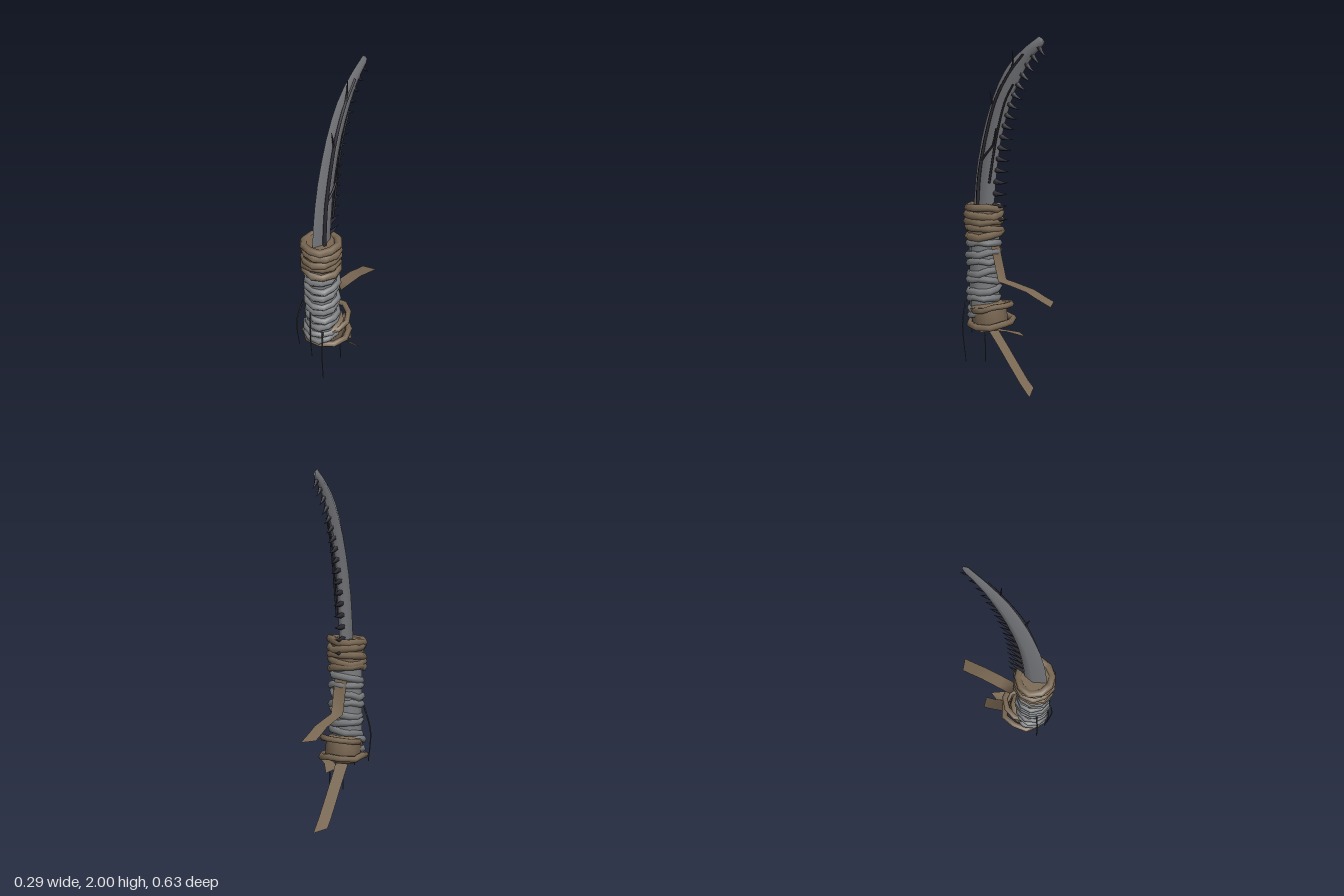
import * as THREE from 'three';
import { toCreasedNormals } from 'three/addons/utils/BufferGeometryUtils.js';

const V = (x, y, z) => new THREE.Vector3(x, y, z);
const mat = (name, color, side = THREE.FrontSide) => {
  const m = new THREE.MeshStandardMaterial({ color, side });
  m.name = name;
  return m;
};

export function createModel() {
  const steel = mat('blade grey', 0x747579);
  const cord = mat('cord grey', 0x7b7d80);
  const leather = mat('leather brown', 0x7a6853, THREE.DoubleSide);
  const thorn = mat('thorn black', 0x2b2a33);
  const thread = mat('thread grey', 0x404245);
  const root = new THREE.Group();
  root.name = 'curvedSickle';

  let seed = 7;
  const rand = () => (seed = (seed * 16807) % 2147483647) / 2147483647 - 0.5;

  const add = (name, geo, material) => {
    const m = new THREE.Mesh(geo, material);
    m.name = name;
    root.add(m);
    return m;
  };

  // Lumpy, tilted loop of cord or leather
  function loop(name, material, x, y, z, r, tube, tiltX, tiltZ) {
    const g = new THREE.TorusGeometry(r, tube, 6, 10).rotateX(Math.PI / 2).rotateY(rand());
    const p = g.attributes.position;
    const lump = Array.from({ length: 10 }, () => [1 + rand() * 0.09, rand() * 0.016]);
    for (let i = 0; i < p.count; i++) {
      const [s, dy] = lump[(i % 11) % 10];
      p.setXYZ(i, p.getX(i) * s, p.getY(i) + dy, p.getZ(i) * s);
    }
    const m = add(name, g, material);
    m.position.set(x, y, z);
    m.rotation.set(tiltX, 0, tiltZ);
  }

  // Tapered tube through points
  function strand(name, material, points, r0, r1, sides = 5) {
    const n = points.length * 4;
    const curve = new THREE.CatmullRomCurve3(points);
    const g = new THREE.TubeGeometry(curve, n, 1, sides);
    const p = g.attributes.position;
    for (let i = 0; i < p.count; i++) {
      const t = Math.floor(i / (sides + 1)) / n;
      const c = curve.getPointAt(t);
      const v = V(0, 0, 0).fromBufferAttribute(p, i).sub(c);
      v.multiplyScalar(r0 + (r1 - r0) * t).add(c);
      p.setXYZ(i, v.x, v.y, v.z);
    }
    add(name, g, material);
  }

  // Flat ribbon: each station is a pair of edge points
  function strap(name, stations) {
    const g = new THREE.PlaneGeometry(1, 1, 1, stations.length - 1);
    stations.forEach(([a, b], i) => {
      g.attributes.position.setXYZ(i * 2, a.x, a.y, a.z);
      g.attributes.position.setXYZ(i * 2 + 1, b.x, b.y, b.z);
    });
    g.computeVertexNormals();
    add(name, g, leather);
  }

  // Blade stations: outer z, outer y, inner z, inner y, half width
  const stations = [
    [0.268, 0.98, 0.118, 0.98, 0.036], [0.262, 1.09, 0.115, 1.09, 0.036],
    [0.25, 1.21, 0.104, 1.2, 0.035], [0.233, 1.315, 0.09, 1.315, 0.034],
    [0.205, 1.44, 0.066, 1.44, 0.032], [0.17, 1.55, 0.037, 1.54, 0.03],
    [0.128, 1.66, 0.002, 1.64, 0.028], [0.08, 1.755, -0.035, 1.715, 0.025],
    [0.03, 1.83, -0.08, 1.79, 0.022], [-0.03, 1.892, -0.122, 1.857, 0.019],
    [-0.11, 1.95, -0.172, 1.91, 0.016], [-0.196, 2.0, -0.215, 1.945, 0.013],
    [-0.222, 1.985, -0.229, 1.962, 0.006],
  ];
  const section = [[0, 0], [0.48, 1], [0.85, 0.75], [1, 0.2], [1, -0.2], [0.85, -0.75], [0.48, -1]];
  const pos = [], idx = [], n = section.length;
  stations.forEach(([oz, oy, iz, iy, w], k) => {
    for (const [t, s] of section) pos.push(-0.006 - 0.006 * k / 12 + s * w, oy + (iy - oy) * t, oz + (iz - oz) * t);
    if (!k) return;
    for (let i = 0; i < n; i++) {
      const a = (k - 1) * n + i, b = (k - 1) * n + (i + 1) % n;
      idx.push(a, b, b + n, a, b + n, a + n);
    }
  });
  const end = (stations.length - 1) * n;
  for (let i = 1; i < n - 1; i++) idx.push(end, end + i, end + i + 1);
  const bladeGeo = new THREE.BufferGeometry();
  bladeGeo.setAttribute('position', new THREE.Float32BufferAttribute(pos, 3));
  bladeGeo.setIndex(idx);
  add('blade', toCreasedNormals(bladeGeo, 0.9), steel);

  // Row of curved teeth along the inner edge
  const inner = new THREE.CatmullRomCurve3(stations.slice(0, 12).map(s => V(-0.01, s[3], s[2])));
  const teeth = 17;
  for (let i = 0; i < teeth; i++) {
    const t = i / (teeth - 1);
    const len = 0.115 - 0.045 * t;
    const g = new THREE.ConeGeometry(0.021 - 0.005 * t, len, 6, 4);
    g.translate(0, len / 2 - 0.012, 0);
    const p = g.attributes.position;
    for (let j = 0; j < p.count; j++) {
      const h = Math.max(0, p.getY(j) / len);
      p.setX(j, p.getX(j) * 0.8);
      p.setZ(j, p.getZ(j) + 0.022 * h * h);
    }
    g.computeVertexNormals();
    const m = add('tooth', g, thorn);
    m.position.copy(inner.getPointAt(0.01 + 0.975 * Math.pow(t, 0.93)));
    m.rotation.x = -0.08 - 0.95 * Math.pow(t, 1.5) - Math.PI / 2;
  }

  // Dark vines creeping up one side of the blade
  strand('mainVine', thorn, [V(0.03, 1.04, 0.205), V(0.031, 1.2, 0.195), V(0.028, 1.315, 0.178),
    V(0.024, 1.53, 0.125), V(0.02, 1.67, 0.075), V(0.011, 1.81, -0.012), V(0.005, 1.91, -0.105)], 0.012, 0.007);
  strand('innerVine', thorn, [V(0.026, 1.2, 0.12), V(0.025, 1.36, 0.09), V(0.022, 1.5, 0.06),
    V(0.018, 1.66, 0.01), V(0.012, 1.75, -0.04)], 0.007, 0.005);
  strand('vineBranch', thorn, [V(0.028, 1.32, 0.178), V(0.033, 1.37, 0.13), V(0.028, 1.41, 0.095), V(0.024, 1.51, 0.07)], 0.007, 0.004);
  strand('vineSpur', thorn, [V(0.02, 1.6, 0.1), V(0.018, 1.65, 0.103), V(0.02, 1.71, 0.118)], 0.007, 0.002);
  strand('vineSpur', thorn, [V(0.01, 1.81, -0.012), V(0.006, 1.86, -0.033), V(0.01, 1.93, -0.032)], 0.007, 0.002);

  // Grip core and its bindings
  add('gripCore', new THREE.CylinderGeometry(0.088, 0.088, 0.58, 10), cord).position.set(-0.008, 0.69, 0.188);
  add('gripCollar', new THREE.CylinderGeometry(0.1, 0.096, 0.165, 10), leather).position.set(-0.008, 0.982, 0.188);
  for (let i = 0; i < 9; i++)
    loop('cordWrap', cord, -0.007 + rand() * 0.012, 0.465 + i * 0.054, 0.19, 0.086, 0.022,
      0.1 + rand() * 0.12, (i % 2 ? 0.14 : -0.1) + rand() * 0.1);
  loop('cordWrap', cord, -0.01, 0.43, 0.19, 0.092, 0.021, 0.3, 0.1);
  const collar = [[1.055, 0.02, 0.03], [1.015, -0.06, -0.06], [0.972, 0.09, 0.07], [0.935, -0.03, 0.1], [0.9, 0.05, -0.1]];
  for (const [y, tx, tz] of collar) loop('leatherWrap', leather, -0.005, y, 0.187, 0.096, 0.023, tx, tz);

  // Tilted leather pommel with two bands
  const profile = [[0, 0], [0.06, 0.004], [0.09, 0.018], [0.107, 0.06], [0.108, 0.15], [0.085, 0.165], [0, 0.168]];
  const pommel = add('pommel', toCreasedNormals(
    new THREE.LatheGeometry(profile.map(p => new THREE.Vector2(...p)), 12), 0.8), leather);
  pommel.position.set(-0.005, 0.33, 0.135);
  pommel.rotation.x = 0.17;
  loop('pommelBand', leather, 0, 0.475, 0.118, 0.113, 0.018, 0.2, 0.04);
  loop('pommelBand', leather, -0.012, 0.382, 0.138, 0.127, 0.019, 0.08, -0.06);

  // Loose straps
  const across = (y, z) => [V(-0.045, y, z), V(0.03, y, z)];
  strap('tailStrap', [across(0.36, 0.14), across(0.335, 0.125), across(0.245, 0.045), across(0.15, -0.035),
    across(0.065, -0.108), [V(-0.045, 0.03, -0.148), V(0.03, 0, -0.175)]]);
  strap('backStrap', [across(0.86, 0.105), across(0.81, 0.098), across(0.64, 0.053), across(0.63, -0.03),
    across(0.612, -0.15), across(0.588, -0.215), [V(-0.045, 0.566, -0.285), V(0.03, 0.555, -0.317)]]);
  strap('sideStrap', [[V(0.14, 0.355, 0.1), V(0.08, 0.37, 0.13)], [V(0.095, 0.368, 0.045), V(0.04, 0.362, 0.09)],
    [V(0.04, 0.36, -0.015), V(-0.01, 0.35, 0.03)], [V(-0.015, 0.335, -0.105), V(-0.04, 0.345, -0.05)]]);

  // Frayed threads hanging from the grip
  const threads = [
    [V(0.06, 0.5, 0.275), V(0.068, 0.35, 0.295), V(0.06, 0.12, 0.277)],
    [V(0.075, 0.42, 0.115), V(0.07, 0.3, 0.118), V(0.072, 0.16, 0.114)],
    [V(-0.085, 0.66, 0.26), V(-0.115, 0.5, 0.29), V(-0.105, 0.32, 0.285)],
    [V(-0.01, 0.63, 0.295), V(-0.006, 0.45, 0.305), V(-0.01, 0.28, 0.29)],
  ];
  for (const t of threads) strand('thread', thread, t, 0.006, 0.003, 4);

  return root;
}
